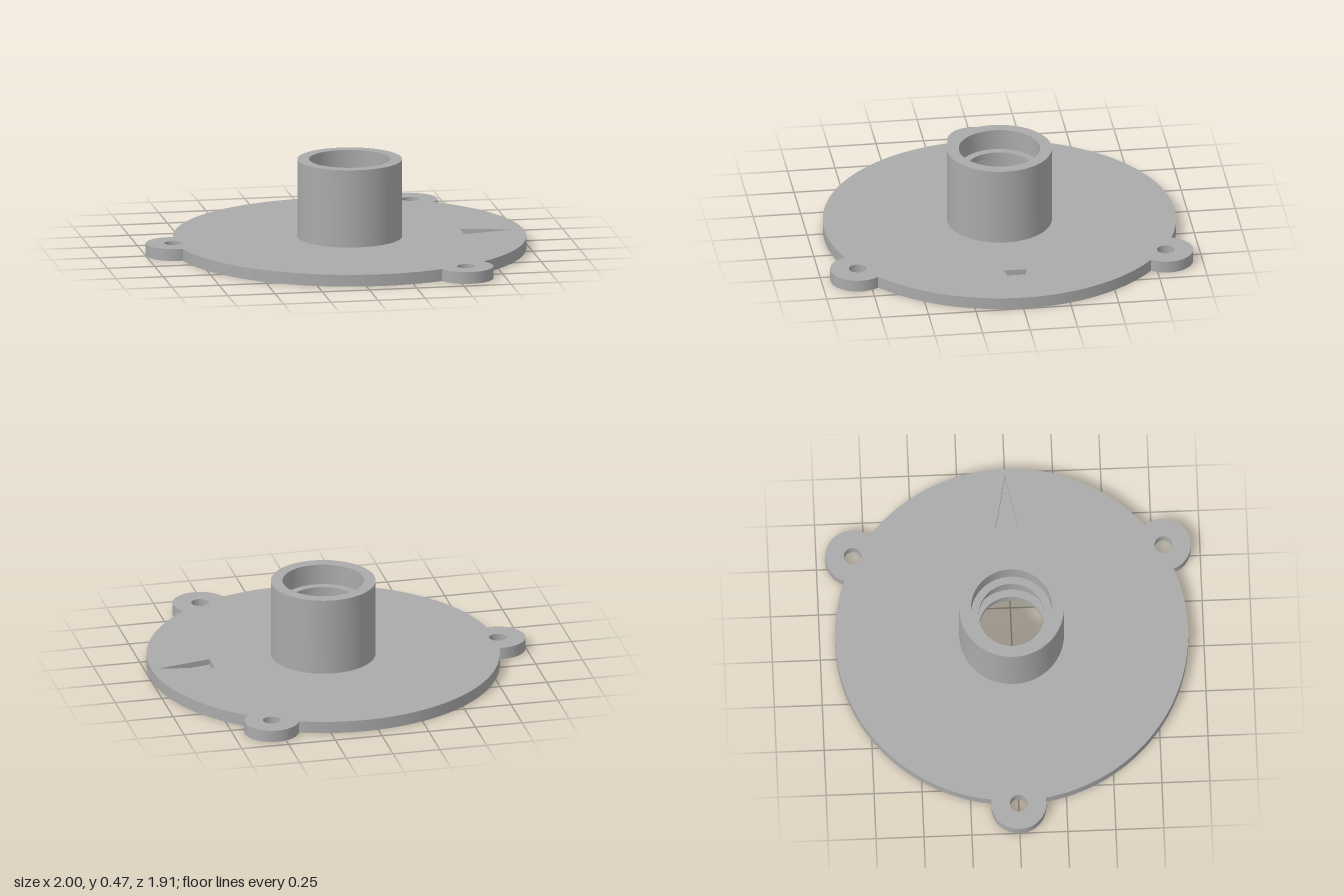
import * as THREE from 'three';
import { toCreasedNormals } from 'three/addons/utils/BufferGeometryUtils.js';

const CENTRE_X = 0.078;
const DISC_R = 0.92, LUG_D = 0.935, LUG_R = 0.143, LUG_HOLE = 0.046;
const BORE_R = 0.212, LIP_R = 0.172, HUB_R = 0.273;
const PLATE_H = 0.063, ARROW_DEPTH = 0.03, TOP = 0.475;
const LUG_ANGLES = [Math.PI / 3, Math.PI, (5 * Math.PI) / 3];

function circleHole(x, y, r) {
  const path = new THREE.Path();
  path.absarc(x, y, r, 0, Math.PI * 2, true);
  return path;
}

// Disc outline with three round screw lugs, bored in the middle
function plateShape() {
  const px = (DISC_R ** 2 + LUG_D ** 2 - LUG_R ** 2) / (2 * LUG_D);
  const py = Math.sqrt(DISC_R ** 2 - px ** 2);
  const half = Math.atan2(py, px);
  const sweep = Math.atan2(py, px - LUG_D);
  const shape = new THREE.Shape();
  let start = LUG_ANGLES[2] - Math.PI * 2 + half;
  for (const a of LUG_ANGLES) {
    const x = LUG_D * Math.cos(a), y = LUG_D * Math.sin(a);
    shape.absarc(0, 0, DISC_R, start, a - half, false);
    shape.absarc(x, y, LUG_R, a - sweep, a + sweep, false);
    shape.holes.push(circleHole(x, y, LUG_HOLE));
    start = a + half;
  }
  shape.holes.push(circleHole(0, 0, BORE_R));
  return shape;
}

function plateLayer(shape, y, depth) {
  const geo = new THREE.ExtrudeGeometry(shape, { depth, bevelEnabled: false, curveSegments: 48 });
  geo.rotateX(-Math.PI / 2).translate(0, y, 0);
  return toCreasedNormals(geo, 0.5);
}

export function createModel() {
  const group = new THREE.Group();
  group.name = 'flangedHub';
  const grey = new THREE.MeshStandardMaterial({ color: 0xaaaaaa });
  grey.name = 'grey';

  const add = (name, geo) => {
    const mesh = new THREE.Mesh(geo, grey);
    mesh.name = name;
    mesh.position.x = CENTRE_X;
    group.add(mesh);
  };

  // Flange: a plain lower layer and an upper layer cut by the arrow
  const floorY = PLATE_H - ARROW_DEPTH;
  add('flangeBase', plateLayer(plateShape(), 0, floorY));
  const upper = plateShape();
  upper.holes.push(new THREE.Path([
    new THREE.Vector2(0.595, -0.06),
    new THREE.Vector2(0.595, 0.06),
    new THREE.Vector2(0.88, 0),
    new THREE.Vector2(0.595, -0.06),
  ]));
  add('flangeTop', plateLayer(upper, floorY, ARROW_DEPTH));

  // Hollow hub with two inner lips and a groove between them
  const profile = [
    [HUB_R, PLATE_H], [HUB_R, TOP], [BORE_R, TOP],
    [BORE_R, 0.365], [LIP_R, 0.365], [LIP_R, 0.335], [BORE_R, 0.335],
    [BORE_R, 0.168], [LIP_R, 0.168], [LIP_R, 0.138], [BORE_R, 0.138],
    [BORE_R, PLATE_H],
  ].map(([r, y]) => new THREE.Vector2(r, y));
  add('hub', toCreasedNormals(new THREE.LatheGeometry(profile, 96), 0.5));

  return group;
}
